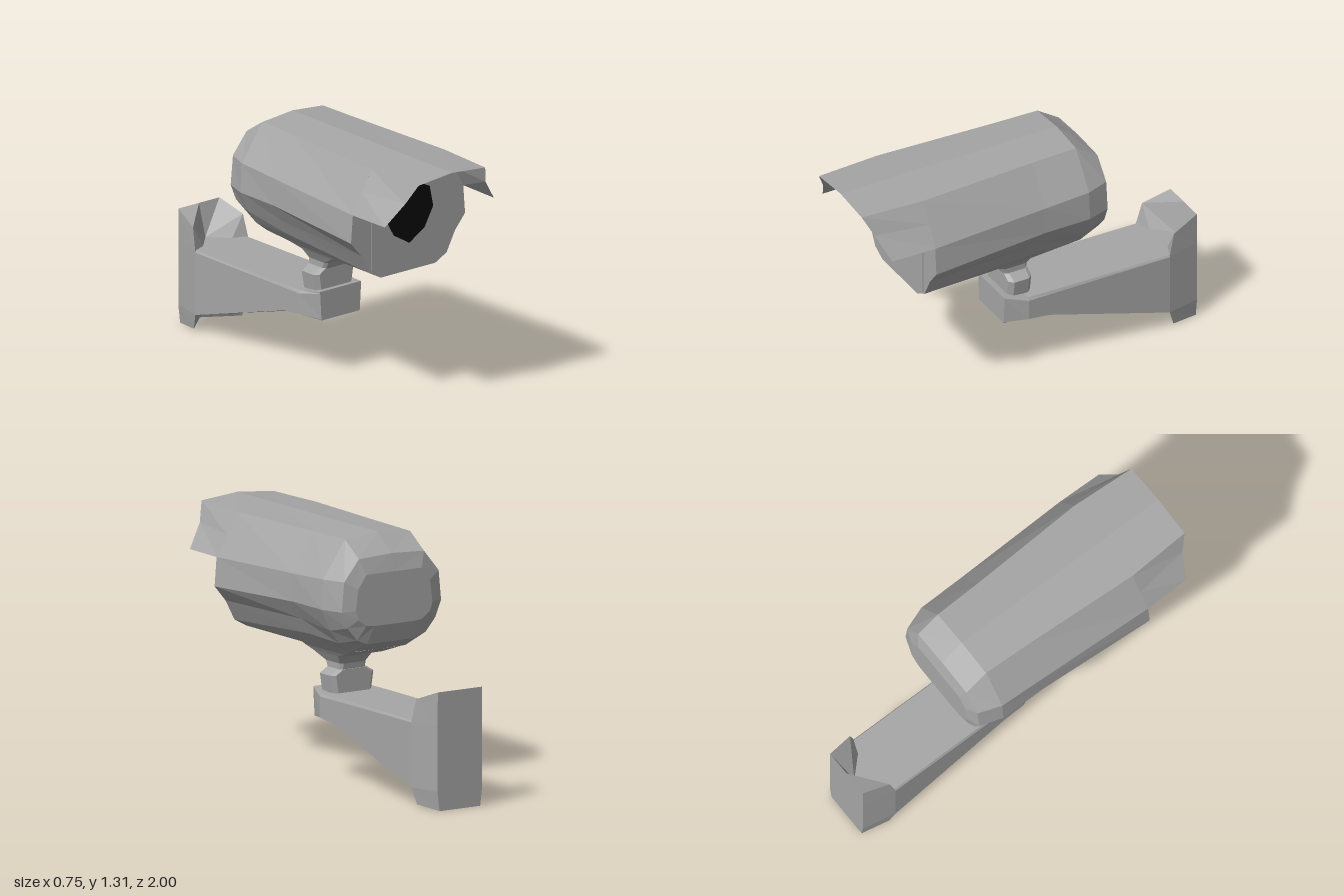
import * as THREE from 'three';

const grey = new THREE.MeshStandardMaterial({ color: 0xa6a6a6 });
grey.name = 'grey metal';
grey.flatShading = true;
const greyShell = grey.clone();
greyShell.side = THREE.DoubleSide;
const black = new THREE.MeshStandardMaterial({ color: 0x0a0a0a });
black.name = 'black glass';

// Mirror a half outline (top centre, round by +x, to bottom) into a full ring
const mirror = (half) => [
  ...half,
  ...half.filter((p) => p[0] > 0).reverse().map(([x, ...rest]) => [-x, ...rest]),
];

// Ring at one depth z
const ringZ = (z, half) => mirror(half.map(([x, y]) => [x, y, z]));

// Rectangle with cut corners at one height y
function ringY(y, x, zBack, zFront, c) {
  return [
    [-x + c, y, zBack], [x - c, y, zBack], [x, y, zBack + c], [x, y, zFront - c],
    [x - c, y, zFront], [-x + c, y, zFront], [-x, y, zFront - c], [-x, y, zBack + c],
  ];
}

// Faceted skin over rows of points, optionally closed and capped
function loft(rows, closed = true) {
  const pos = [];
  const tri = (...pts) => pts.forEach((p) => pos.push(...p));
  for (let r = 0; r < rows.length - 1; r++) {
    const n = rows[r].length;
    for (let j = 0; j < (closed ? n : n - 1); j++) {
      const k = (j + 1) % n;
      const [a, b, c, d] = [rows[r][j], rows[r][k], rows[r + 1][k], rows[r + 1][j]];
      tri(a, b, c);
      tri(a, c, d);
    }
  }
  if (closed) {
    const cap = (ring, flip) => {
      const m = [0, 1, 2].map((i) => ring.reduce((s, p) => s + p[i], 0) / ring.length);
      ring.forEach((p, j) => {
        const q = ring[(j + 1) % ring.length];
        flip ? tri(m, q, p) : tri(m, p, q);
      });
    };
    cap(rows[0], true);
    cap(rows[rows.length - 1], false);
  }
  const g = new THREE.BufferGeometry();
  g.setAttribute('position', new THREE.Float32BufferAttribute(pos, 3));
  g.computeVertexNormals();
  return g;
}

// Thin plate facing +z
function plate(points, z, depth) {
  const shape = new THREE.Shape(points.map(([x, y]) => new THREE.Vector2(x, y)));
  return new THREE.ExtrudeGeometry(shape, { depth, bevelEnabled: false }).translate(0, 0, z);
}

export function createModel() {
  const model = new THREE.Group();
  model.name = 'securityCamera';
  const add = (name, geometry, material = grey) => {
    const mesh = new THREE.Mesh(geometry, material);
    mesh.name = name;
    model.add(mesh);
  };

  // Camera housing, front to back
  add('housing', loft([
    ringZ(0.653, [[0, 1.31], [0.24, 1.29], [0.365, 1.07], [0.377, 0.92], [0.31, 0.84], [0.255, 0.735], [0.18, 0.695], [0, 0.695]]),
    ringZ(0, [[0, 1.31], [0.208, 1.292], [0.342, 1.09], [0.345, 0.945], [0.29, 0.85], [0.25, 0.77], [0.18, 0.695], [0, 0.695]]),
    ringZ(-0.26, [[0, 1.31], [0.2, 1.292], [0.335, 1.1], [0.345, 0.945], [0.29, 0.83], [0.24, 0.76], [0.17, 0.705], [0, 0.7]]),
    ringZ(-0.385, [[0, 1.22], [0.2, 1.21], [0.29, 1.1], [0.305, 0.945], [0.27, 0.86], [0.21, 0.79], [0.15, 0.765], [0, 0.765]]),
    ringZ(-0.41, [[0, 1.13], [0.17, 1.13], [0.22, 1.06], [0.235, 0.95], [0.22, 0.9], [0.17, 0.865], [0.12, 0.86], [0, 0.86]]),
  ]));

  // Sun visor: open arch reaching forward from the housing
  const arch = (half) => [
    ...half.slice(1).reverse().map(([x, y, z]) => [-x, y, z]),
    ...half,
  ];
  add('visor', loft([
    arch([[0, 1.31, 1], [0.22, 1.29, 1], [0.265, 1.19, 0.95], [0.36, 1.07, 0.9]]),
    arch([[0, 1.31, 0.65], [0.24, 1.29, 0.65], [0.303, 1.18, 0.65], [0.365, 1.07, 0.65]]),
  ], false), greyShell);

  // Front panel and lens
  add('frontPanel', plate([[-0.245, 0.745], [0.245, 0.745], [0.245, 1.25], [-0.245, 1.25]], 0.652, 0.007));
  add('lens', plate(mirror([[0, 1.19], [0.135, 1.12], [0.158, 1.01], [0.1, 0.905], [0, 0.845]]), 0.657, 0.006), black);

  // Neck under the housing, then the swivel block
  add('neck', loft([
    ringY(0.705, 0.15, -0.27, 0.28, 0.02),
    ringY(0.665, 0.118, -0.16, 0.24, 0.02),
    ringY(0.645, 0.105, -0.08, 0.19, 0.02),
    ringY(0.6, 0.08, -0.05, 0.1, 0.015),
    ringY(0.565, 0.08, -0.045, 0.085, 0.015),
  ]));
  add('swivelBlock', loft([
    ringY(0.57, 0.085, -0.05, 0.085, 0.02),
    ringY(0.542, 0.135, -0.05, 0.085, 0.025),
    ringY(0.445, 0.12, -0.05, 0.085, 0.025),
  ]));

  // Tapered bracket arm, front to back
  add('bracketArm', loft([
    ringZ(0.12, [[0, 0.465], [0.135, 0.465], [0.135, 0.455], [0.127, 0.316], [0.125, 0.31], [0, 0.31]]),
    ringZ(0, [[0, 0.45], [0.165, 0.45], [0.175, 0.435], [0.175, 0.325], [0.125, 0.308], [0, 0.308]]),
    ringZ(-0.12, [[0, 0.45], [0.168, 0.45], [0.175, 0.435], [0.175, 0.312], [0.125, 0.3], [0, 0.3]]),
    ringZ(-0.82, [[0, 0.445], [0.168, 0.445], [0.175, 0.435], [0.175, 0.1], [0.125, 0.13], [0, 0.145]]),
    ringZ(-0.95, [[0, 0.445], [0.12, 0.445], [0.13, 0.435], [0.13, 0.12], [0.1, 0.13], [0, 0.145]]),
  ]));

  // Wall plate with flared front corners
  add('wallPlate', loft([
    mirror([[0, 0.445, -0.95], [0.165, 0.56, -0.85], [0.175, 0.44, -0.82], [0.175, 0.1, -0.82], [0.16, 0.015, -0.85], [0, 0.145, -0.9]]),
    ringZ(-1, [[0, 0.615], [0.135, 0.615], [0.137, 0.44], [0.137, 0.1], [0.125, 0], [0, 0]]),
  ]));

  return model;
}
